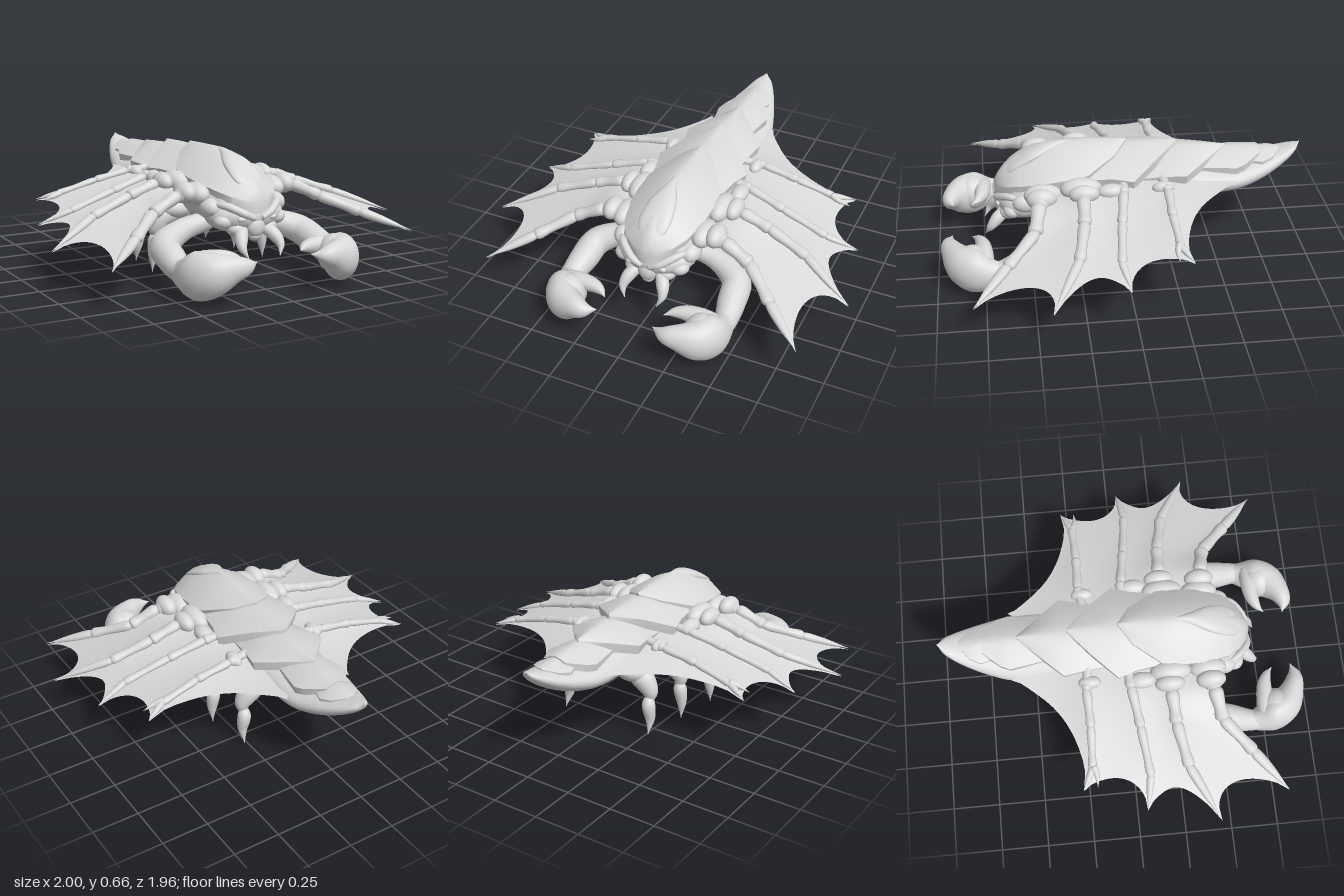
import * as THREE from 'three';
import { toCreasedNormals } from 'three/addons/utils/BufferGeometryUtils.js';

const shell = new THREE.MeshStandardMaterial({ name: 'grey shell', color: 0xd8d8d8 });
const skin = new THREE.MeshStandardMaterial({ name: 'grey wing skin', color: 0xd8d8d8, side: THREE.DoubleSide });
const V = (x, y, z) => new THREE.Vector3(x, y, z);

function indexed(points, index) {
  const g = new THREE.BufferGeometry().setFromPoints(points);
  g.setIndex(index);
  g.computeVertexNormals();
  return g;
}

// Skin over closed rings, with capped ends
function loft(rings) {
  const n = rings[0].length, index = [], pts = rings.flat();
  for (let i = 0; i < rings.length - 1; i++)
    for (let j = 0; j < n; j++) {
      const a = i * n + j, b = i * n + (j + 1) % n;
      index.push(a, b, a + n, b, b + n, a + n);
    }
  const last = (rings.length - 1) * n;
  for (let j = 1; j < n - 1; j++) index.push(0, j + 1, j, last, last + j, last + j + 1);
  return indexed(pts, index);
}

// Organic tube through [x, y, z, radius, height radius]
function limb(rows, { s = 1, up = V(0, 1, 0), steps = 6, sides = 14 } = {}) {
  const path = new THREE.CatmullRomCurve3(rows.map(r => V(r[0] * s, r[1], r[2])), false, 'catmullrom', 0.5);
  const size = new THREE.SplineCurve(rows.map(r => new THREE.Vector2(r[3], r[4] ?? r[3])));
  const rings = [], count = (rows.length - 1) * steps;
  for (let i = 0; i <= count; i++) {
    const p = path.getPoint(i / count), r = size.getPoint(i / count), t = path.getTangent(i / count);
    const side = up.clone().cross(t).normalize(), top = t.clone().cross(side);
    rings.push(Array.from({ length: sides }, (_, j) => {
      const a = j / sides * Math.PI * 2;
      return p.clone().addScaledVector(side, Math.cos(a) * Math.max(r.x, 0.001))
        .addScaledVector(top, Math.sin(a) * Math.max(r.y, 0.001));
    }));
  }
  return loft(rings);
}

// Ridged armour plate, rows from front to back: [z, half width, ridge height, edge height]
function plate(rows) {
  const cols = 16;
  const rings = rows.slice().reverse().map(([z, w, ridge, edge]) => {
    const ring = [];
    for (let j = 0; j <= cols; j++) {
      const u = 1 - 2 * j / cols;
      ring.push(V(u * w, ridge + (edge - ridge) * Math.abs(u) ** 1.4, z));
    }
    ring.push(V(-w * 0.95, edge - 0.05, z), V(w * 0.95, edge - 0.05, z));
    return ring;
  });
  return toCreasedNormals(loft(rings), 0.6);
}

// Scalloped, slightly sagging skin between two finger paths
function membrane(a, b, pull, s) {
  const ca = new THREE.CatmullRomCurve3(a.map(p => V(...p))), cb = new THREE.CatmullRomCurve3(b.map(p => V(...p)));
  const nt = 18, ns = 16, pts = [], index = [];
  for (let i = 0; i <= nt; i++)
    for (let j = 0; j <= ns; j++) {
      const v = j / ns, arc = 4 * v * (1 - v);
      const t = i / nt * (1 - pull * arc ** 0.6);
      const p = ca.getPoint(t).lerp(cb.getPoint(t), v);
      p.y -= 0.008 + 0.012 * arc * Math.sin(Math.PI * Math.min(1, t + 0.1));
      p.x *= s;
      pts.push(p);
      if (i < nt && j < ns) {
        const k = i * (ns + 1) + j;
        index.push(k, k + 1, k + ns + 1, k + 1, k + ns + 2, k + ns + 1);
      }
    }
  return indexed(pts, index);
}

export function createModel() {
  const model = new THREE.Group();
  model.name = 'wingedCrab';
  const add = (name, geometry, material = shell) => {
    const m = new THREE.Mesh(geometry, material);
    m.name = name;
    model.add(m);
    return m;
  };
  const knob = (name, x, y, z, rx, ry, rz) => {
    const m = add(name, new THREE.SphereGeometry(1, 20, 14));
    m.position.set(x, y, z);
    m.scale.set(rx, ry, rz);
  };

  // Trunk running into the upturned tail
  const trunk = [[-0.98, 0.58, 0.58, 0.004], [-0.94, 0.57, 0.525, 0.05], [-0.85, 0.545, 0.455, 0.1], [-0.72, 0.52, 0.385, 0.15],
    [-0.58, 0.505, 0.35, 0.185], [-0.35, 0.52, 0.33, 0.185], [-0.1, 0.545, 0.3, 0.19], [0.2, 0.58, 0.28, 0.21],
    [0.42, 0.57, 0.27, 0.21], [0.58, 0.49, 0.28, 0.17], [0.66, 0.4, 0.36, 0.03]];
  add('body', limb(trunk.map(([z, top, bottom, w]) => [0, (top + bottom) / 2, z, w, (top - bottom) / 2]), { sides: 28 }));

  // Overlapping back armour
  const plates = [
    [[0.68, 0.02, 0.45, 0.43], [0.655, 0.075, 0.495, 0.445], [0.62, 0.125, 0.54, 0.465], [0.55, 0.175, 0.588, 0.49], [0.42, 0.208, 0.635, 0.515],
      [0.28, 0.215, 0.665, 0.535], [0.19, 0.205, 0.663, 0.55], [0.04, 0.105, 0.658, 0.61], [-0.03, 0.005, 0.655, 0.65]],
    [[0.2, 0.2, 0.615, 0.525], [0.05, 0.225, 0.632, 0.53], [-0.045, 0.255, 0.637, 0.525], [-0.18, 0.135, 0.637, 0.59], [-0.3, 0.005, 0.633, 0.625]],
    [[-0.06, 0.17, 0.575, 0.49], [-0.2, 0.19, 0.595, 0.51], [-0.33, 0.215, 0.61, 0.52], [-0.45, 0.11, 0.602, 0.555], [-0.565, 0.005, 0.592, 0.585]],
    [[-0.38, 0.11, 0.565, 0.51], [-0.61, 0.15, 0.582, 0.515], [-0.66, 0.13, 0.58, 0.525], [-0.75, 0.06, 0.575, 0.555]],
    [[-0.66, 0.07, 0.555, 0.52], [-0.76, 0.105, 0.567, 0.52], [-0.82, 0.08, 0.565, 0.535], [-0.87, 0.015, 0.56, 0.555]],
  ];
  plates.forEach((rows, i) => add('backPlate' + (i + 1), plate(rows)));
  add('frontCrest', limb([[0, 0.656, 0.22, 0.004], [0, 0.641, 0.33, 0.025, 0.022], [0, 0.6, 0.46, 0.075, 0.03],
    [0, 0.535, 0.58, 0.08, 0.022], [0, 0.47, 0.65, 0.02, 0.01]], { sides: 20 }));

  // Face
  knob('head', 0, 0.36, 0.53, 0.215, 0.1, 0.15);
  knob('snout', 0, 0.31, 0.65, 0.05, 0.055, 0.035);
  knob('mouth', 0, 0.265, 0.64, 0.035, 0.03, 0.03);

  // Wing fingers from front to back, with bone radius
  const fingers = [
    { r: 0.041, path: [[0.18, 0.46, 0.42], [0.34, 0.465, 0.455], [0.49, 0.395, 0.485], [0.66, 0.315, 0.635], [0.865, 0.225, 0.81]] },
    { r: 0.037, path: [[0.17, 0.49, 0.2], [0.34, 0.49, 0.225], [0.5, 0.44, 0.235], [0.72, 0.365, 0.28], [1.0, 0.255, 0.43]] },
    { r: 0.028, path: [[0.15, 0.51, 0.0], [0.3, 0.49, 0.015], [0.5, 0.435, 0.045], [0.75, 0.36, 0.075], [0.92, 0.3, 0.045]] },
    { r: 0.026, path: [[0.13, 0.5, -0.2], [0.29, 0.485, -0.22], [0.48, 0.45, -0.215], [0.69, 0.395, -0.225], [0.8, 0.365, -0.28]] },
  ];
  const tailEdge = [[0.08, 0.49, -0.42], [0.11, 0.48, -0.48], [0.14, 0.47, -0.53], [0.165, 0.465, -0.57], [0.19, 0.46, -0.61]];
  const pulls = [0.13, 0.16, 0.2, 0.36];

  for (const s of [1, -1]) {
    const tag = s > 0 ? 'left' : 'right';
    const part = (name, rows, opt = {}) => add(tag + name, limb(rows, { s, ...opt }));

    // Wing bones as tapered segments, then skin between them
    fingers.forEach(({ r, path }, f) => {
      for (let i = 0; i < path.length - 1; i++) {
        const a = V(...path[i]), b = V(...path[i + 1]), end = i === path.length - 2;
        const at = (k, w) => [...a.clone().lerp(b, k).toArray(), w * r * (1 - 0.1 * i), w * r * (0.85 - 0.1 * i)];
        part('WingBone', end ? [at(-0.06, 0.5), at(0.08, 1.05), at(0.5, 0.8), at(1, 0.02)]
          : [at(-0.06, 0.6), at(0.12, 1.1), at(0.6, 0.9), at(0.93, 1.1), at(1.04, 0.5)], { steps: 4, sides: 10 });
      }
      const next = fingers[f + 1]?.path ?? tailEdge;
      add(tag + 'WingSkin', membrane(path, next, pulls[f], s), skin);
    });
    part('WingSpur', [[0.68, 0.4, -0.22, 0.02], [0.73, 0.385, -0.205, 0.014], [0.79, 0.37, -0.205, 0.001]]);

    // Shoulder lumps: [x, y, z, rx, ry, rz]
    [[0.29, 0.475, 0.44, 0.05, 0.055, 0.08], [0.22, 0.46, 0.43, 0.06, 0.06, 0.1], [0.3, 0.495, 0.22, 0.045, 0.05, 0.08],
      [0.23, 0.49, 0.23, 0.06, 0.06, 0.11], [0.265, 0.485, 0.075, 0.045, 0.04, 0.075], [0.25, 0.48, -0.2, 0.035, 0.035, 0.06]]
      .forEach(([x, ...rest]) => knob(tag + 'Shoulder', s * x, ...rest));

    // Pincer arm
    part('Arm', [[0.12, 0.305, 0.38, 0.05], [0.27, 0.265, 0.375, 0.06], [0.4, 0.215, 0.435, 0.075],
      [0.425, 0.175, 0.55, 0.075], [0.44, 0.145, 0.66, 0.06], [0.44, 0.145, 0.72, 0.055]]);
    part('Pincer', [[0.44, 0.14, 0.65, 0.045, 0.06], [0.435, 0.135, 0.71, 0.065, 0.08], [0.415, 0.14, 0.79, 0.09, 0.12],
      [0.365, 0.158, 0.865, 0.09, 0.11], [0.285, 0.185, 0.915, 0.06, 0.07], [0.22, 0.195, 0.93, 0.04, 0.042], [0.155, 0.205, 0.915, 0.002]], { sides: 20 });
    knob(tag + 'PincerPalm', s * 0.375, 0.165, 0.81, 0.095, 0.1, 0.095);
    part('PincerThumb', [[0.43, 0.185, 0.745, 0.045], [0.35, 0.2, 0.75, 0.048], [0.27, 0.205, 0.755, 0.04], [0.21, 0.205, 0.775, 0.025], [0.165, 0.2, 0.81, 0.002]]);

    // Pointed walking legs: [z, tip z, tip height, sideways shift]
    [[0.18, 0.18, 0.01, 0.04], [-0.05, -0.075, 0.01, 0.01], [-0.28, -0.335, 0.02, -0.03]].forEach(([z, tip, y, dx]) => {
      knob(tag + 'Hip', s * (0.17 + dx), 0.345, z, 0.1, 0.06, 0.085);
      part('Thigh', [[0.14, 0.33, z, 0.05], [0.23 + dx, 0.31, z, 0.06], [0.275 + dx, 0.25, z, 0.045], [0.28 + dx, 0.2, z - 0.01, 0.025]], { up: V(0, 0, 1) });
      part('Shin', [[0.275 + dx, 0.225, z, 0.02], [0.285 + dx, 0.18, (z + tip) / 2, 0.036], [0.295 + dx, 0.1, (z + tip) / 2, 0.026], [0.3 + dx, y, tip, 0.001]], { up: V(0, 0, 1) });
    });

    // Face details
    part('Fang', [[0.06, 0.3, 0.62, 0.03], [0.095, 0.265, 0.67, 0.034], [0.11, 0.22, 0.71, 0.022], [0.09, 0.17, 0.74, 0.002]]);
    part('Brow', [[0.02, 0.355, 0.675, 0.014], [0.08, 0.385, 0.665, 0.02], [0.15, 0.42, 0.61, 0.02], [0.19, 0.42, 0.55, 0.01]]);
    knob(tag + 'Eye', s * 0.09, 0.355, 0.662, 0.022, 0.014, 0.015);
    knob(tag + 'Cheek', s * 0.15, 0.34, 0.59, 0.055, 0.04, 0.05);
    knob(tag + 'Temple', s * 0.19, 0.4, 0.52, 0.05, 0.05, 0.07);
    knob(tag + 'Jaw', s * 0.09, 0.3, 0.61, 0.05, 0.04, 0.05);
  }
  return model;
}
